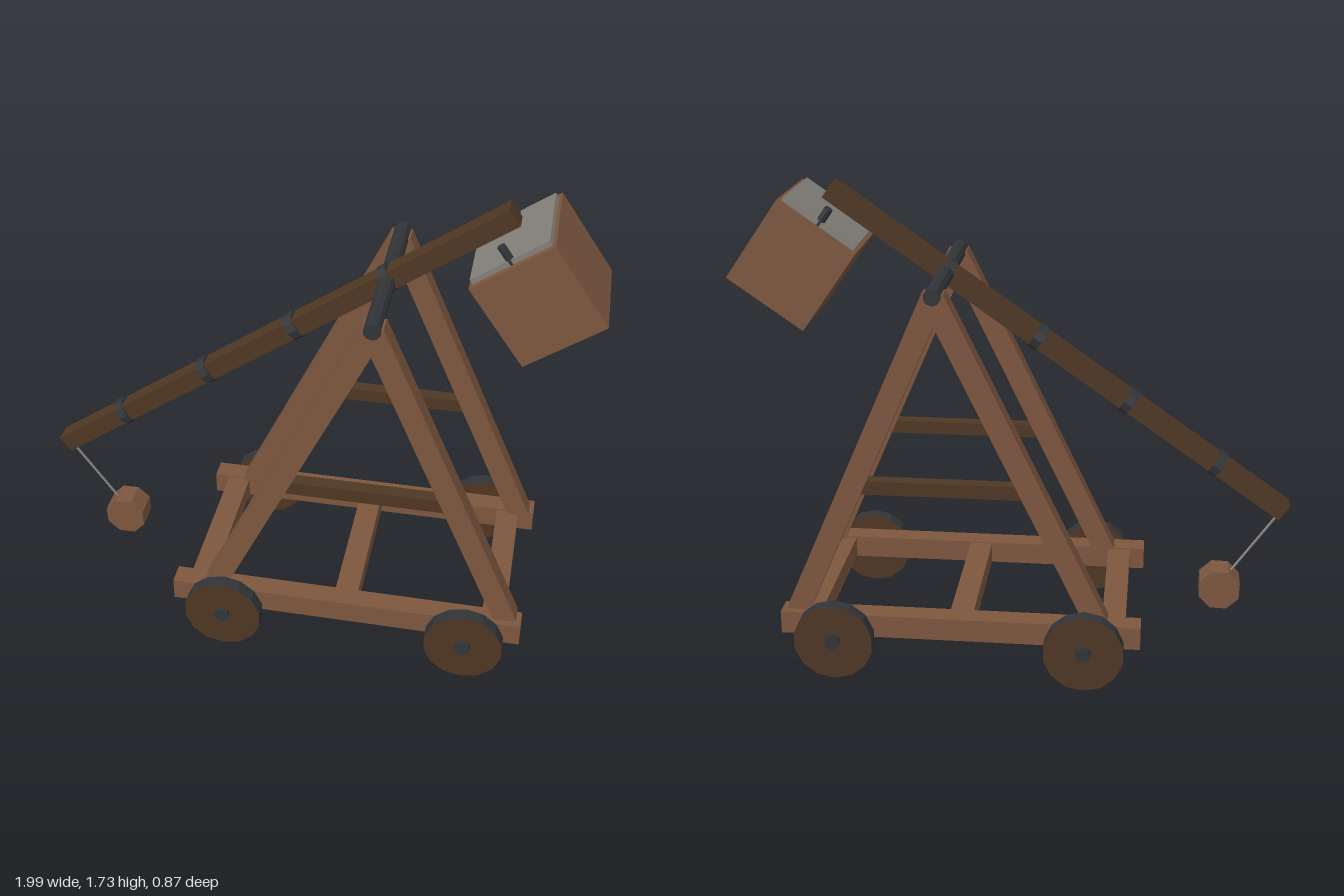
import * as THREE from 'three';

const mat = (name, color) => {
  const m = new THREE.MeshStandardMaterial({ color, flatShading: true });
  m.name = name;
  return m;
};

export function createModel() {
  const root = new THREE.Group();
  root.name = 'trebuchet';
  const wood = mat('wood', 0x7d573f);
  const darkWood = mat('dark wood', 0x4f3724);
  const iron = mat('iron', 0x323538);
  const stone = mat('grey stone', 0x85807a);

  const add = (parent, name, geo, material, x = 0, y = 0, z = 0) => {
    const m = new THREE.Mesh(geo, material);
    m.name = name;
    m.position.set(x, y, z);
    parent.add(m);
    return m;
  };
  const box = (parent, name, w, h, d, material, x, y, z) =>
    add(parent, name, new THREE.BoxGeometry(w, h, d), material, x, y, z);
  // cylinder lying along z
  const zCyl = (parent, name, r, len, sides, material, x, y, z) =>
    add(parent, name, new THREE.CylinderGeometry(r, r, len, sides).rotateX(Math.PI / 2), material, x, y, z);
  // square beam between two points in a plane of constant z
  const beam = (name, x0, y0, x1, y1, h, d, z, material) => {
    const m = box(root, name, Math.hypot(x1 - x0, y1 - y0), h, d, material, (x0 + x1) / 2, (y0 + y1) / 2, z);
    m.rotation.z = Math.atan2(y1 - y0, x1 - x0);
    return m;
  };

  // chassis, A-frames and wheels, mirrored front to back
  for (const s of [1, -1]) {
    box(root, 'sideRail', 1.3, 0.085, 0.08, wood, 0.175, 0.188, s * 0.325);
    beam('leftLeg', -0.32, 0.22, 0.25, 1.41, 0.08, 0.07, s * 0.304, wood);
    beam('rightLeg', 0.77, 0.22, 0.25, 1.41, 0.08, 0.07, s * 0.304, wood);
    box(root, 'frameBrace', 0.58, 0.05, 0.05, darkWood, 0.24, 0.715, s * 0.304);
    for (const x of [-0.275, 0.625]) {
      zCyl(root, 'wheel', 0.145, 0.05, 14, [iron, darkWood, darkWood], x, 0.145, s * 0.395);
      zCyl(root, 'wheelHub', 0.029, 0.076, 8, iron, x, 0.152, s * 0.398);
    }
  }
  for (const x of [-0.377, 0.173, 0.723])
    box(root, 'crossBeam', 0.085, 0.075, 0.58, wood, x, 0.188, 0);

  // pivot axle
  zCyl(root, 'pivotAxle', 0.03, 0.7, 10, iron, 0.25, 1.418, 0);

  // throwing arm, built along x around the pivot and then tilted
  const tilt = Math.atan2(1.156, 1.64);
  const arm = new THREE.Group();
  arm.name = 'throwingArm';
  arm.position.set(0.25, 1.418, 0);
  arm.rotation.z = tilt;
  root.add(arm);
  box(arm, 'armBeam', 2.006, 0.068, 0.07, darkWood, -0.502, 0, 0);
  for (let i = 0; i < 4; i++)
    add(arm, 'armBand', new THREE.CylinderGeometry(0.05, 0.05, 0.035, 10).rotateZ(Math.PI / 2), iron, -0.4 * i, 0, 0);

  // counterweight box with lid and hanger pins
  const weight = new THREE.Group();
  weight.name = 'counterweight';
  weight.position.set(0.765, 1.47, 0);
  weight.rotation.z = tilt;
  root.add(weight);
  box(weight, 'weightBox', 0.32, 0.338, 0.375, wood, 0, 0, 0);
  box(weight, 'weightFill', 0.295, 0.02, 0.33, stone, 0, 0.178, 0);
  for (const s of [1, -1])
    add(weight, 'hangerPin', new THREE.CylinderGeometry(0.015, 0.015, 0.09, 8), iron, 0, 0.195, s * 0.152);

  // sling rope and projectile
  const rope = new THREE.LineCurve3(new THREE.Vector3(-0.97, 0.545, 0), new THREE.Vector3(-0.78, 0.265, 0));
  add(root, 'slingRope', new THREE.TubeGeometry(rope, 1, 0.005, 6), stone);
  zCyl(root, 'slingPouch', 0.08, 0.1, 8, wood, -0.76, 0.235, 0).rotation.z = 0.42;

  return root;
}
